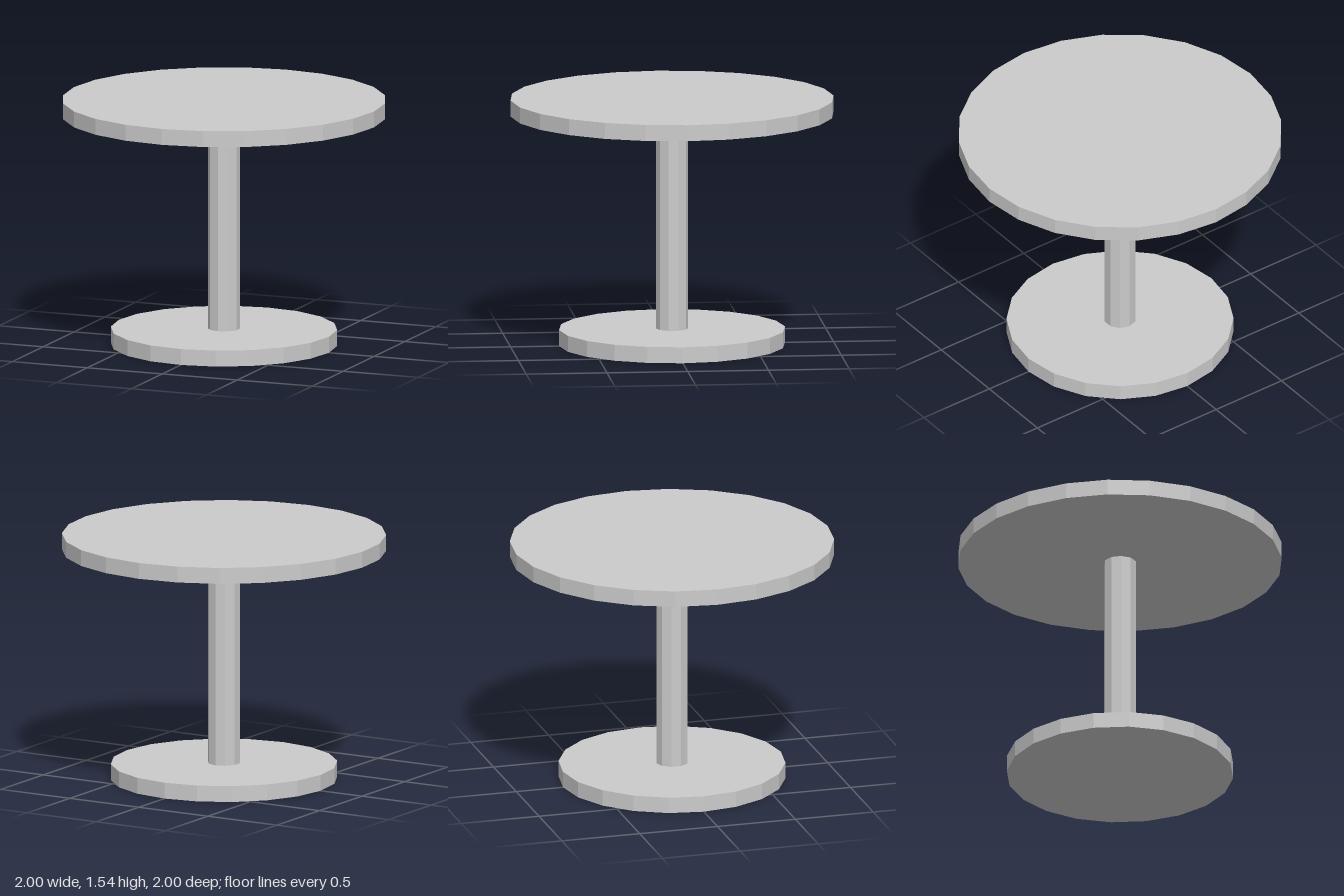
import * as THREE from 'three';

export function createModel() {
  const model = new THREE.Group();
  model.name = 'pedestalTable';
  const material = new THREE.MeshStandardMaterial({ color: 0xcccccc, flatShading: true });

  // Upright faceted disc or post between two heights
  function addRound(name, radius, bottom, top, sides) {
    const geometry = new THREE.CylinderGeometry(radius, radius, top - bottom, sides);
    const mesh = new THREE.Mesh(geometry, material);
    mesh.name = name;
    mesh.position.y = (bottom + top) / 2;
    model.add(mesh);
  }

  addRound('base', 0.7, 0, 0.1, 20);
  addRound('column', 0.1, 0.1, 1.44, 10);
  addRound('tableTop', 1, 1.44, 1.54, 24);

  return model;
}
